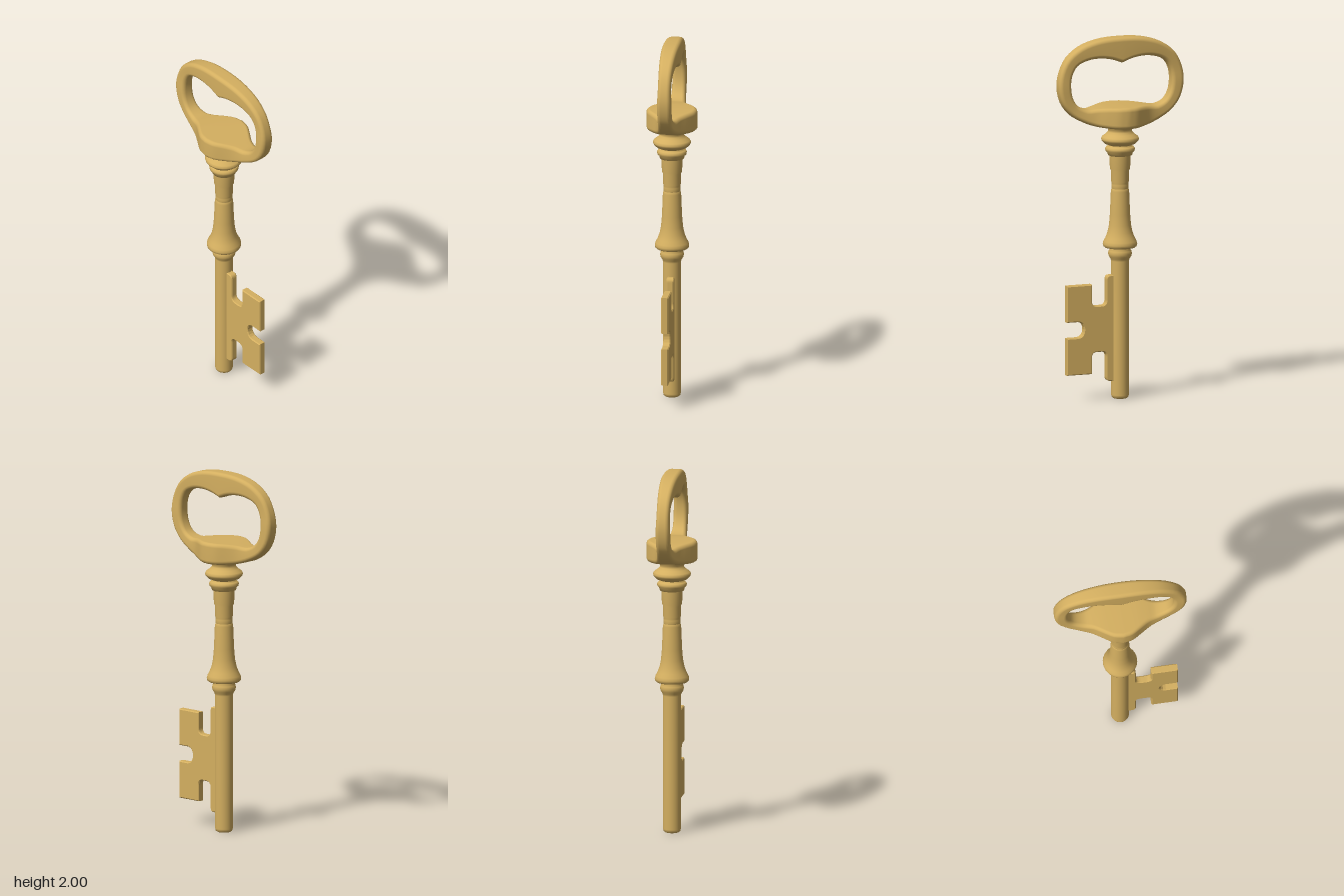
import * as THREE from 'three';

const brass = new THREE.MeshStandardMaterial({ color: 0xd4af60 });
brass.name = 'brass';

// Half of the bow, bottom centre to top centre: inner x, y, outer x, y, half depth
const BOW = [
  [0, 1.625, 0, 1.505, 0.14], [0.05, 1.624, 0.052, 1.507, 0.13],
  [0.1, 1.622, 0.105, 1.511, 0.1], [0.15, 1.617, 0.165, 1.521, 0.067],
  [0.2, 1.612, 0.23, 1.545, 0.05], [0.253, 1.634, 0.295, 1.587, 0.04],
  [0.283, 1.68, 0.343, 1.65, 0.038], [0.293, 1.74, 0.364, 1.74, 0.038],
  [0.286, 1.8, 0.353, 1.82, 0.035], [0.258, 1.852, 0.312, 1.9, 0.036],
  [0.205, 1.88, 0.238, 1.957, 0.04], [0.135, 1.89, 0.15, 1.987, 0.044],
  [0.06, 1.881, 0.07, 1.998, 0.047], [0, 1.86, 0, 2, 0.048],
];

// Rounded-rectangle sections swept around the closed ring
function bowGeometry() {
  const curve = (f) => new THREE.CatmullRomCurve3(BOW.map(f));
  const inner = curve((p) => new THREE.Vector3(p[0], p[1], p[4]));
  const outer = curve((p) => new THREE.Vector3(p[2], p[3], p[4]));
  const half = 39;
  const rings = 2 * half;
  const steps = 4;
  const around = 4 * (steps + 1);
  const pos = [];
  const index = [];
  for (let i = 0; i < rings; i++) {
    const t = (i <= half ? i : rings - i) / half;
    const side = i <= half ? 1 : -1;
    const a = inner.getPoint(t);
    const b = outer.getPoint(t);
    const depth = a.z;
    const w = Math.hypot(b.x - a.x, b.y - a.y) / 2;
    const r = Math.min(0.022, w * 0.6, depth * 0.6);
    for (let c = 0; c < 4; c++) {
      const su = c === 0 || c === 3 ? 1 : -1;
      const sz = c < 2 ? 1 : -1;
      for (let k = 0; k <= steps; k++) {
        const ang = (c + k / steps) * Math.PI / 2;
        const u = (su * (w - r) + r * Math.cos(ang)) / w;
        const z = sz * (depth - r) + r * Math.sin(ang);
        const m = (u + 1) / 2;
        pos.push(side * (a.x + (b.x - a.x) * m), a.y + (b.y - a.y) * m, z);
      }
    }
    const n = (i + 1) % rings;
    for (let j = 0; j < around; j++) {
      const k = (j + 1) % around;
      const p = i * around + j, q = n * around + j;
      const s = n * around + k, v = i * around + k;
      index.push(p, q, s, p, s, v);
    }
  }
  const g = new THREE.BufferGeometry();
  g.setAttribute('position', new THREE.Float32BufferAttribute(pos, 3));
  g.setIndex(index);
  g.computeVertexNormals();
  return g;
}

// Turned sections of the stem: radius, height
const STEM = {
  shank: [[0, 0], [0.036, 0], [0.045, 0.006], [0.049, 0.02], [0.049, 0.4], [0.049, 0.76],
    [0.052, 0.772], [0.061, 0.785], [0.065, 0.8], [0.063, 0.815], [0.057, 0.822],
    [0.057, 0.845]],
  flare: [[0.05, 0.836], [0.084, 0.836], [0.092, 0.843], [0.094, 0.855], [0.09, 0.87],
    [0.079, 0.89], [0.068, 0.92], [0.06, 0.96], [0.055, 1.02], [0.05, 1.145],
    [0.047, 1.157], [0.044, 1.163]],
  neck: [[0.044, 1.155], [0.047, 1.165], [0.047, 1.182], [0.045, 1.19], [0.049, 1.2],
    [0.05, 1.26], [0.055, 1.27], [0.059, 1.35]],
  lowerCollar: [[0.055, 1.343], [0.066, 1.345], [0.07, 1.36], [0.08, 1.37], [0.081, 1.382],
    [0.075, 1.392], [0.062, 1.394], [0.06, 1.41]],
  upperCollar: [[0.06, 1.4], [0.085, 1.41], [0.1, 1.425], [0.104, 1.436], [0.098, 1.448],
    [0.078, 1.462], [0.066, 1.475], [0.064, 1.488], [0.075, 1.5], [0.08, 1.52]],
};

// Notched plate beside the shank
function bitGeometry() {
  const s = new THREE.Shape();
  const r = 0.03;
  s.moveTo(0.03, 0.1);
  s.lineTo(0.065, 0.1);
  s.quadraticCurveTo(0.085, 0.1, 0.085, 0.125);
  s.lineTo(0.085, 0.265 - r);
  s.quadraticCurveTo(0.085, 0.265, 0.085 + r, 0.265);
  s.lineTo(0.17 - r, 0.265);
  s.quadraticCurveTo(0.17, 0.265, 0.17, 0.265 - r);
  s.lineTo(0.17, 0.145);
  s.lineTo(0.316, 0.145);
  s.lineTo(0.316, 0.35);
  s.lineTo(0.25, 0.35);
  s.bezierCurveTo(0.203, 0.352, 0.203, 0.436, 0.25, 0.438);
  s.lineTo(0.316, 0.438);
  s.lineTo(0.316, 0.64);
  s.lineTo(0.17, 0.64);
  s.lineTo(0.17, 0.52 + r);
  s.quadraticCurveTo(0.17, 0.52, 0.17 - r, 0.52);
  s.lineTo(0.085 + r, 0.52);
  s.quadraticCurveTo(0.085, 0.52, 0.085, 0.52 + r);
  s.lineTo(0.085, 0.66);
  s.quadraticCurveTo(0.085, 0.685, 0.065, 0.685);
  s.lineTo(0.03, 0.685);
  s.closePath();
  const bevel = 0.005;
  const g = new THREE.ExtrudeGeometry(s, {
    depth: 0.03, bevelEnabled: true, bevelThickness: bevel, bevelSize: bevel,
    bevelOffset: -bevel, bevelSegments: 1, curveSegments: 8,
  });
  g.translate(0, 0, -0.015);
  return g;
}

export function createModel() {
  const key = new THREE.Group();
  key.name = 'key';
  const add = (name, geometry) => {
    const mesh = new THREE.Mesh(geometry, brass);
    mesh.name = name;
    key.add(mesh);
  };
  add('bow', bowGeometry());
  for (const [name, profile] of Object.entries(STEM)) {
    const points = profile.map(([r, y]) => new THREE.Vector2(r, y));
    add(name, new THREE.LatheGeometry(points, 32));
  }
  add('bit', bitGeometry());
  return key;
}
